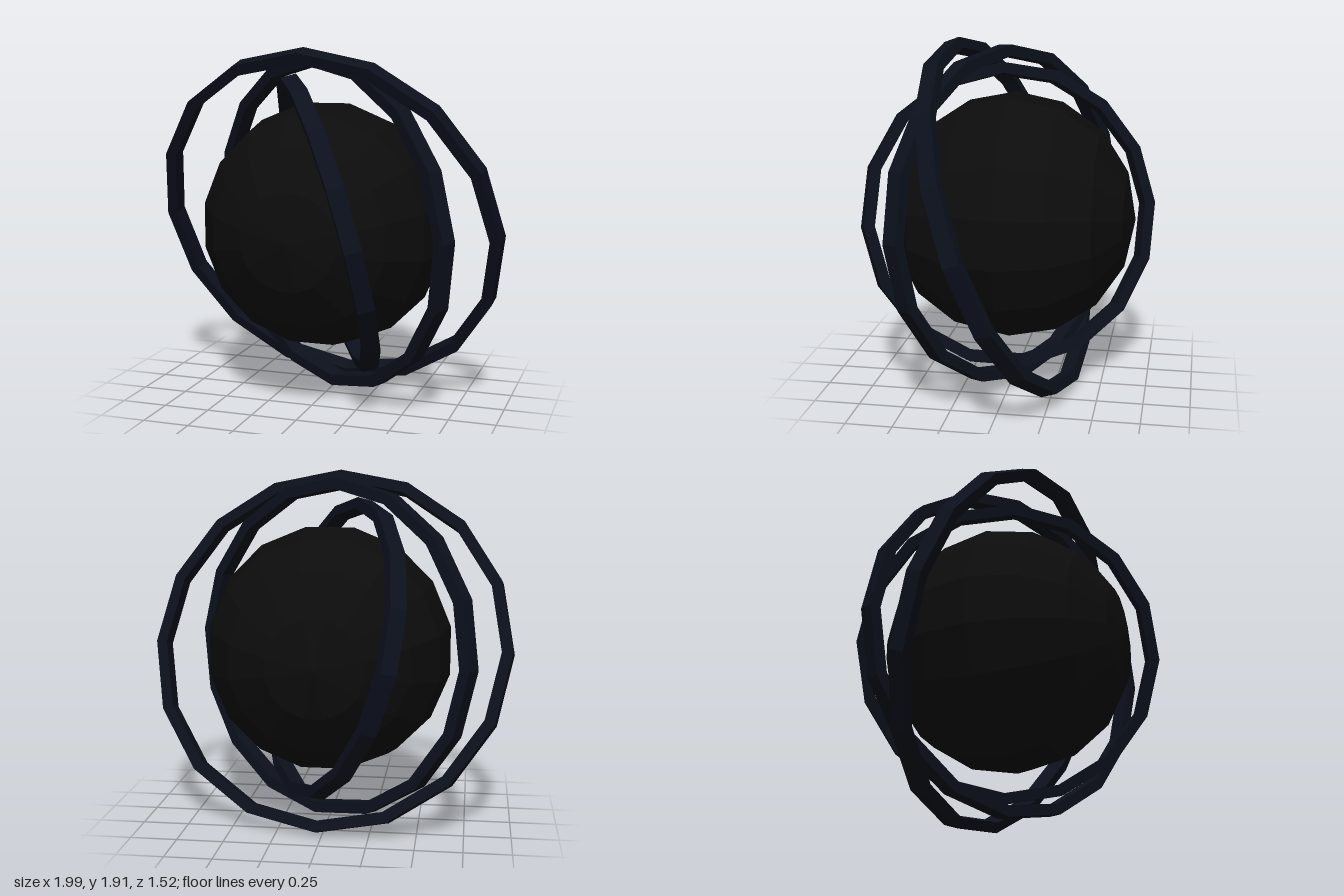
import * as THREE from 'three';

const CENTER_Y = 0.962;

// Flat band with a rectangular section, turned so its axis is `normal`
// and one of its corners points along `top`.
function ring(name, radius, normal, top, material) {
  const inner = radius - 0.06, h = 0.044;
  const section = [[radius, -h], [radius, h], [inner, h], [inner, -h], [radius, -h]]
    .map(([x, y]) => new THREE.Vector2(x, y));
  const mesh = new THREE.Mesh(new THREE.LatheGeometry(section, 16), material);
  const y = new THREE.Vector3(...normal).normalize();
  const x = new THREE.Vector3().crossVectors(y, new THREE.Vector3(...top)).normalize();
  const z = new THREE.Vector3().crossVectors(x, y);
  mesh.quaternion.setFromRotationMatrix(new THREE.Matrix4().makeBasis(x, y, z));
  mesh.position.y = CENTER_Y;
  mesh.name = name;
  return mesh;
}

export function createModel() {
  const model = new THREE.Group();
  model.name = 'ringedSphere';
  const black = new THREE.MeshStandardMaterial({ color: 0x0c0c0c, flatShading: true });
  const navy = new THREE.MeshStandardMaterial({ color: 0x0b101c, flatShading: true });

  // Core sphere, poles facing front and back
  const ball = new THREE.SphereGeometry(0.67, 16, 8);
  ball.rotateY(Math.PI / 16);
  ball.rotateX(Math.PI / 2);
  const core = new THREE.Mesh(ball, black);
  core.name = 'core';
  core.position.y = CENTER_Y;
  model.add(core);

  // Three nested tilted rings
  model.add(
    ring('outerRing', 1.0, [-0.123, -0.337, 0.934], [-0.03, 0.93, 0.33], navy),
    ring('middleRing', 0.92, [-0.52, -0.075, 0.853], [-0.05, 0.92, 0.05], navy),
    ring('innerRing', 0.83, [-0.863, -0.249, 0.44], [-0.18, 0.8, 0.1], navy),
  );
  return model;
}
